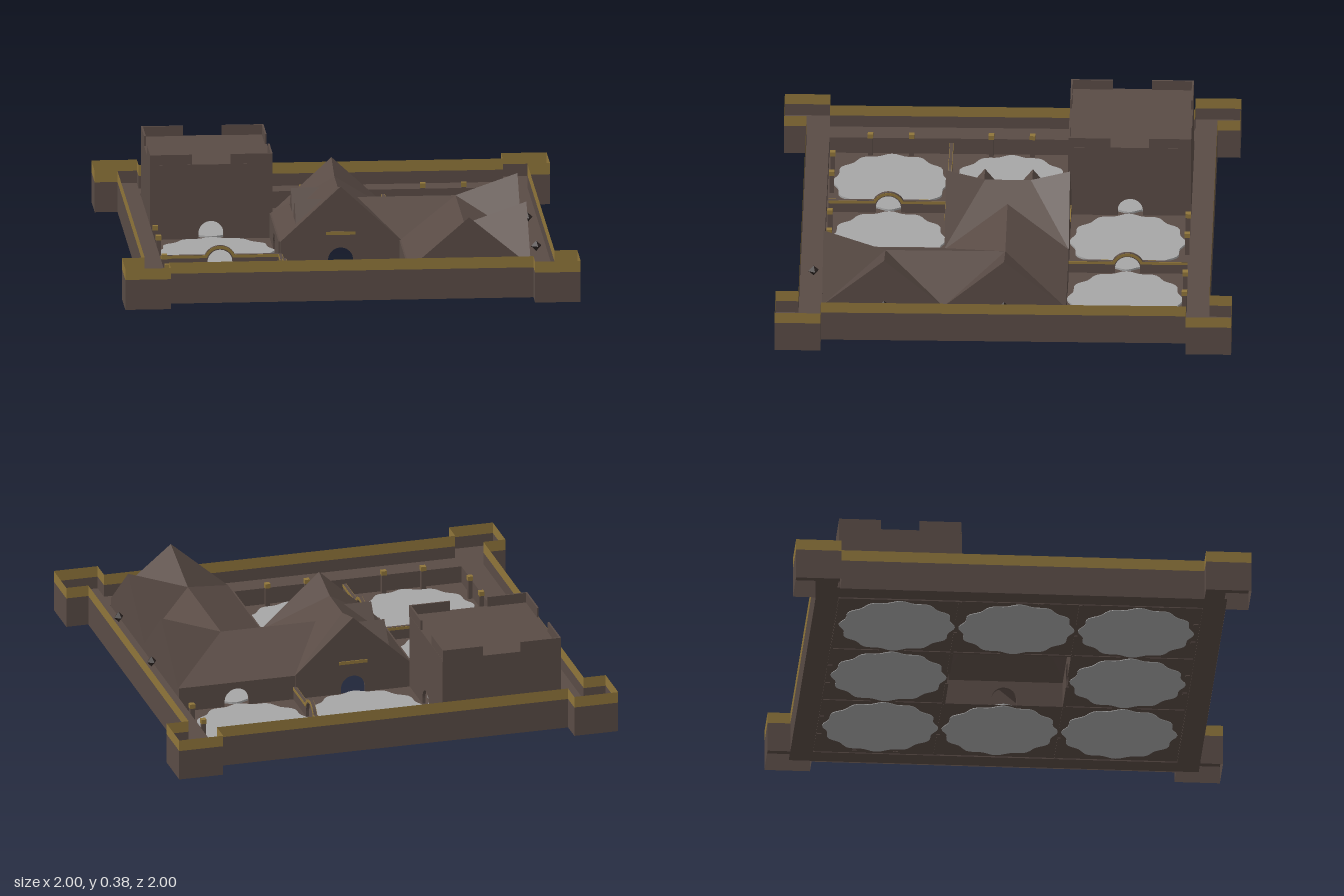
import * as THREE from 'three';

const mat = (name, color) => Object.assign(new THREE.MeshStandardMaterial({ color, side: THREE.DoubleSide }), { name });
const stone = mat('brown stone', 0x594b45);
const gold = mat('gold trim', 0x8f753a);
const grey = mat('grey floor', 0xa6a6a6);
const dark = mat('dark iron', 0x2e2624);

const C = 0.265; // edge of the middle cell
const E = 0.797; // edge of the outer cells
const EAVE = 0.115;

export function createModel() {
  const model = new THREE.Group();

  function add(name, geometry, material, x = 0, y = 0, z = 0, ry = 0) {
    const mesh = new THREE.Mesh(geometry, material);
    mesh.name = name;
    mesh.position.set(x, y, z);
    mesh.rotation.y = ry;
    model.add(mesh);
    return mesh;
  }
  const box = (name, m, w, h, d, x, y, z) => add(name, new THREE.BoxGeometry(w, h, d), m, x, y, z);

  // Flat faces from triangles or quads of corner points
  function faces(name, material, polygons) {
    const pos = [];
    for (const p of polygons)
      for (let i = 1; i < p.length - 1; i++) pos.push(...p[0], ...p[i], ...p[i + 1]);
    const g = new THREE.BufferGeometry();
    g.setAttribute('position', new THREE.Float32BufferAttribute(pos, 3));
    g.computeVertexNormals();
    return add(name, g, material);
  }

  // Closed band of upright faces along a plan outline
  function band(name, material, outline, y0, y1) {
    faces(name, material, outline.map(([x, z], i) => {
      const [u, v] = outline[(i + 1) % outline.length];
      return [[x, y0, z], [u, y0, v], [u, y1, v], [x, y1, z]];
    }));
  }
  const square = (s) => [[-s, -s], [s, -s], [s, s], [-s, s]];
  const toShape = (pts) => new THREE.Shape(pts.map(([x, z]) => new THREE.Vector2(x, -z)));
  function sheet(name, material, outline, hole, y) {
    const s = toShape(outline);
    if (hole) s.holes.push(toShape(hole));
    add(name, new THREE.ShapeGeometry(s).rotateX(-Math.PI / 2), material, 0, y, 0);
  }

  // Curtain wall with square corner bastions
  const outline = [];
  for (const [sx, sz, swap] of [[-1, -1, 0], [1, -1, 1], [1, 1, 0], [-1, 1, 1]]) {
    const corner = [[0.9, 0.8], [1, 0.8], [1, 1], [0.8, 1], [0.8, 0.9]];
    if (swap) corner.reverse();
    for (const [x, z] of corner) outline.push([sx * x, sz * z]);
  }
  band('outerWall', stone, outline, 0, 0.135);
  band('outerWallTrim', gold, outline, 0.135, 0.185);
  sheet('wallWalk', stone, outline, square(0.8), 0.08);
  band('innerWall', stone, square(0.8), 0, 0.08);
  sheet('baseFloor', stone, square(0.9), square(C), 0.004);

  // Scalloped floors of the eight outer cells
  const scallop = [];
  for (let i = 0; i < 80; i++) {
    const a = (i / 80) * Math.PI * 2, r = 0.246 + 0.009 * Math.cos(a * 12);
    scallop.push([r * Math.cos(a), r * Math.sin(a)]);
  }
  const disc = new THREE.ExtrudeGeometry(toShape(scallop), { depth: 0.012, bevelEnabled: false }).rotateX(-Math.PI / 2);
  for (const i of [-1, 0, 1]) for (const k of [-1, 0, 1])
    if (i || k) add('cellFloor', disc, grey, i * 0.525, 0.001, k * 0.525);

  // Room wall with an arched doorway; h is its height
  function archWall(name, x, z, ry, h) {
    const w = 0.263, r = 0.055, R = 0.073, sy = 0.03;
    const s = new THREE.Shape();
    s.moveTo(-w, 0).lineTo(-r, 0).lineTo(-r, sy);
    s.absarc(0, sy, r, Math.PI, 0, true);
    s.lineTo(r, 0).lineTo(w, 0).lineTo(w, h);
    const low = h < 0.1, a = Math.asin((h - sy) / R);
    if (low) s.absarc(0, sy, R, a, Math.PI - a, false);
    s.lineTo(-w, h);
    const t = 0.014;
    const make = (shape, d) => new THREE.ExtrudeGeometry(shape, { depth: d, bevelEnabled: false, curveSegments: 10 }).translate(0, 0, -d / 2);
    add(name, make(s, t), stone, x, 0, z, ry);
    if (!low) return;
    // Gold edging along the top of the wall and around the arch
    const g = new THREE.Shape(), q = R - 0.013, b = Math.asin((h - 0.013 - sy) / q);
    g.moveTo(-w, h - 0.013).lineTo(-q * Math.cos(b), h - 0.013);
    g.absarc(0, sy, q, Math.PI - b, b, true);
    g.lineTo(w, h - 0.013).lineTo(w, h);
    g.absarc(0, sy, R - 0.0005, a, Math.PI - a, false);
    g.lineTo(-w, h);
    add(name + 'Trim', make(g, t + 0.004), gold, x, -0.0005, z, ry);
  }
  const Q = Math.PI / 2, D = 0.53, LOW = 0.062;
  for (const p of [[-C, D], [C, -D], [-C, 0]]) archWall('roomWall', p[0], p[1], Q, p[1] ? LOW : EAVE);
  for (const p of [[-D, C], [0, -C], [0, C]]) archWall('roomWall', p[0], p[1], 0, p[0] ? LOW : EAVE);
  archWall('hallWall', C, D, Q, EAVE);
  archWall('hallWall', D, -C, 0, EAVE);
  archWall('hallWall', C, 0, Q, EAVE);
  archWall('hallWall', D, C, 0, EAVE);

  // Paired gold-capped posts along the outer sides
  function post(x, z) {
    box('post', stone, 0.02, 0.09, 0.02, x, 0.045, z);
    box('postCap', gold, 0.024, 0.02, 0.024, x, 0.1, z);
  }
  for (const d of [-0.09, 0.09]) {
    for (const c of [0, D]) {
      post(-0.787, c + d);
      post(c + d, -0.787);
    }
    for (const c of [-D, 0]) post(c + d, 0.782);
    post(0.782, -D + d);
  }

  // Square tower with corner battlements
  archWall('towerFront', -D, -C, 0, 0.34);
  archWall('towerSide', -C, -D, Q, 0.34);
  box('towerBack', stone, 0.534, 0.34, 0.01, -D, 0.17, -0.792);
  box('towerSide', stone, 0.01, 0.34, 0.534, -0.792, 0.17, -D);
  box('towerRoof', stone, 0.538, 0.01, 0.538, -0.528, 0.335, -0.528);
  for (const s of [-1, 1]) for (const t of [-1, 1]) {
    box('battlement', stone, 0.184, 0.045, 0.008, -0.528 + s * 0.177, 0.3625, -0.528 + t * 0.265);
    box('battlement', stone, 0.008, 0.045, 0.184, -0.528 + s * 0.265, 0.3625, -0.528 + t * 0.177);
  }

  // Central hall roof: a ridge along z that sweeps up at both gables
  const N = 0.272;
  for (const s of [-1, 1]) {
    faces('centreRoof', stone, [
      [[0, 0.315, -0.1], [0, 0.315, 0.1], [s * C, EAVE, N], [s * C, EAVE, -N]],
      ...[-1, 1].map((t) => [[0, 0.36, t * N], [0, 0.315, t * 0.1], [s * C, EAVE, t * N]]),
    ]);
    faces('centreGable', stone, [[[-C, EAVE, s * N], [C, EAVE, s * N], [0, 0.36, s * N]]]);
    box('gableBand', gold, 0.13, 0.014, 0.009, 0, 0.15, s * N);
    // Dormers on the left slope
    const z = s * 0.105, tip = [-0.066, 0.265, z], top = [-0.19, 0.265, z];
    const a = [-0.19, 0.17, z - 0.075], b = [-0.19, 0.17, z + 0.075];
    faces('dormer', stone, [[a, b, top], [top, a, tip], [top, b, tip]]);
  }

  // Wing roofs: low ridges that turn the corner, rising to three gables
  const P = 0.525, L = 0.245, H = 0.34, M = C;
  const p0 = [P, L, 0], p1 = [P, L, P];
  const g0 = [E, H, 0], g1 = [E, H, P], g2 = [P, H, E];
  const v = [E, EAVE, M], n = [E, EAVE, -N], c = [E, EAVE, E], f = [M, EAVE, E], i = [M, EAVE, M];
  faces('wingRoof', stone, [
    [[0.093, L, 0], p0, n, [M, EAVE, -N]], [p0, g0, n], [p0, g0, v],
    [[0.093, L, 0], p0, i], [p0, p1, v], [p1, g1, v], [p1, g1, c],
    [p0, p1, f, i], [p1, g2, f], [p1, g2, c],
  ]);
  faces('wingGables', stone, [
    [n, v, g0], [v, c, g1], [f, c, g2],
    [[E, 0, -N], [E, 0, E], c, n], [[M, 0, E], [E, 0, E], c, f],
  ]);

  // Small iron lanterns outside the gables
  for (const [x, z] of [[0.84, 0], [0.84, P], [P, 0.84]])
    add('lantern', new THREE.OctahedronGeometry(0.024), dark, x, 0.14, z, 0.3);

  return model;
}
